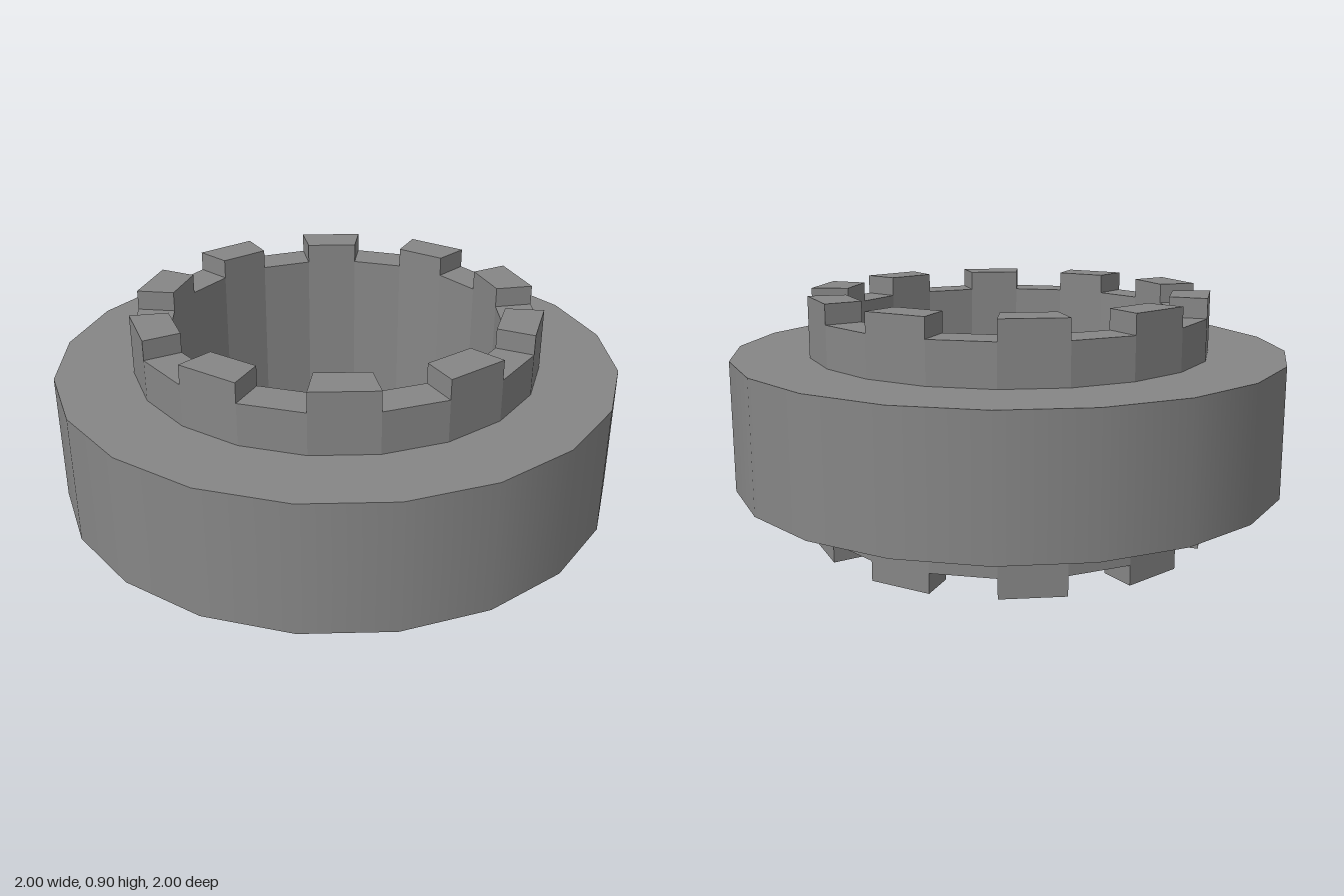
import * as THREE from 'three';

const SIDES = 20, STEP = (Math.PI * 2) / SIDES;
const BAND_R = 1, BAND_LOW = 0.217, BAND_HIGH = 0.683;
const OUTER_R = 0.724, INNER_R = 0.59, HEIGHT = 0.9, TOOTH = 0.07;

const material = new THREE.MeshStandardMaterial({ color: 0x868686 });
const flatMaterial = new THREE.MeshStandardMaterial({ color: 0x868686, flatShading: true });

function addMesh(parent, name, geometry, mat = material) {
  const mesh = new THREE.Mesh(geometry, mat);
  mesh.name = name;
  parent.add(mesh);
  return mesh;
}

// Hollow collar built sector by sector; every other sector is a tooth at both ends
function collarGeometry() {
  const positions = [];
  const point = (r, k, y) => [r * Math.sin(k * STEP), y, r * Math.cos(k * STEP)];
  const quad = (a, b, c, d) => positions.push(...a, ...b, ...c, ...a, ...c, ...d);

  for (let k = 0; k < SIDES; k++) {
    const isTooth = k % 2 === 1;
    const low = isTooth ? 0 : TOOTH;
    const high = isTooth ? HEIGHT : HEIGHT - TOOTH;
    const out = (side, y) => point(OUTER_R, k + side, y);
    const inn = (side, y) => point(INNER_R, k + side, y);

    quad(out(0, low), out(1, low), out(1, high), out(0, high));     // outer wall
    quad(inn(1, low), inn(0, low), inn(0, high), inn(1, high));     // bore wall
    quad(out(0, high), out(1, high), inn(1, high), inn(0, high));   // top
    quad(inn(0, low), inn(1, low), out(1, low), out(0, low));       // underside

    // Radial flanks of the upper and lower teeth
    if (isTooth) {
      for (const [y0, y1] of [[0, TOOTH], [HEIGHT - TOOTH, HEIGHT]]) {
        quad(out(1, y0), inn(1, y0), inn(1, y1), out(1, y1));
        quad(inn(0, y0), out(0, y0), out(0, y1), inn(0, y1));
      }
    }
  }

  const geometry = new THREE.BufferGeometry();
  geometry.setAttribute('position', new THREE.Float32BufferAttribute(positions, 3));
  geometry.computeVertexNormals();
  return geometry;
}

export function createModel() {
  const model = new THREE.Group();
  model.name = 'toothedRing';

  // Toothed inner collar
  addMesh(model, 'toothedCollar', collarGeometry(), flatMaterial);

  // Wide outer band: smooth rim with a flat face above and below
  const band = new THREE.Group();
  band.name = 'outerBand';
  const rim = new THREE.CylinderGeometry(BAND_R, BAND_R, BAND_HIGH - BAND_LOW, SIDES, 1, true);
  addMesh(band, 'bandRim', rim).position.y = (BAND_LOW + BAND_HIGH) / 2;
  for (const [name, y, tilt] of [['bandTop', BAND_HIGH, -1], ['bandUnderside', BAND_LOW, 1]]) {
    const face = addMesh(band, name, new THREE.RingGeometry(OUTER_R, BAND_R, SIDES));
    face.rotation.x = (tilt * Math.PI) / 2;
    face.position.y = y;
  }
  model.add(band);

  return model;
}
